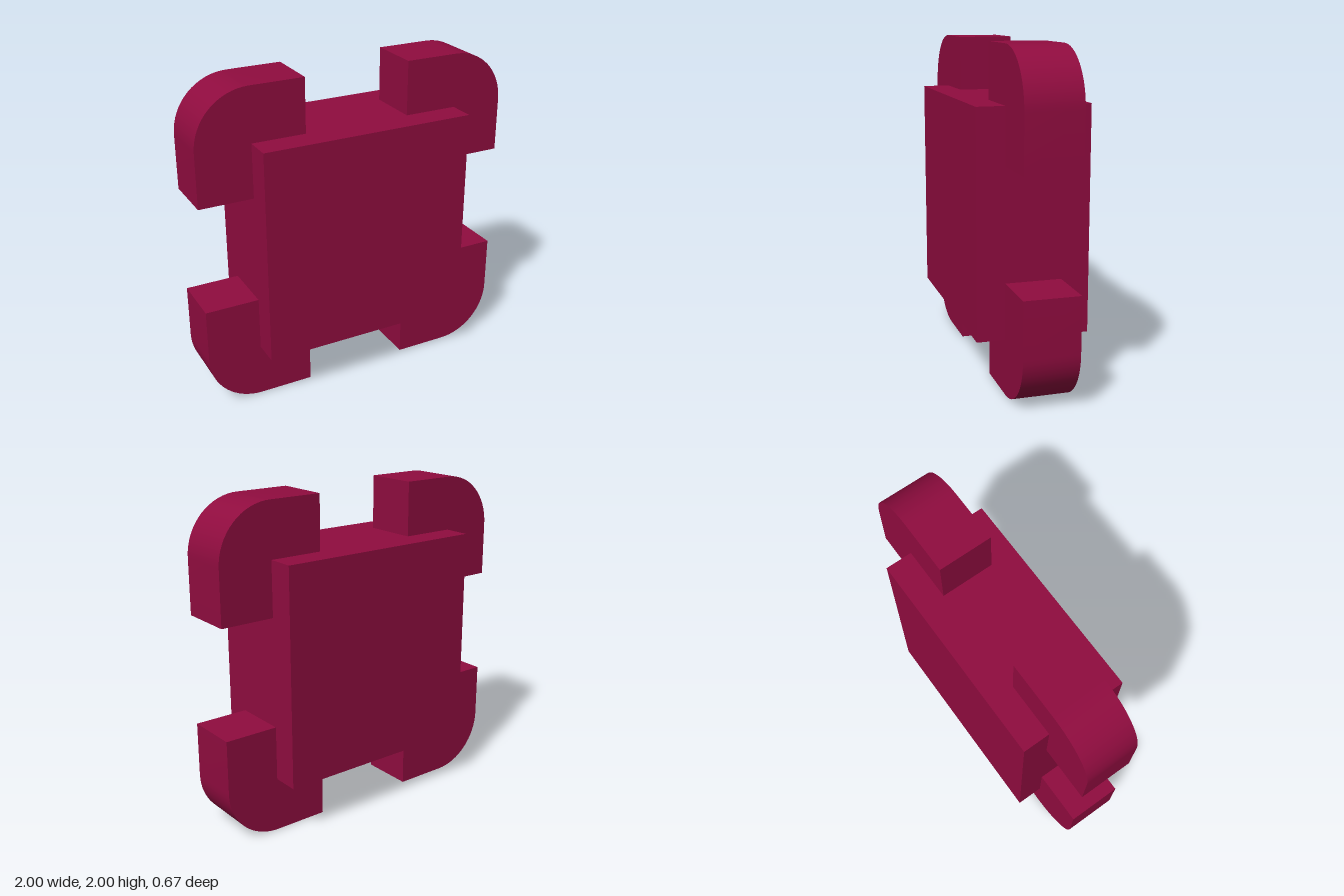
import * as THREE from 'three';
import { toCreasedNormals } from 'three/addons/utils/BufferGeometryUtils.js';

export function createModel() {
  const group = new THREE.Group();
  const crimson = new THREE.MeshStandardMaterial({ color: 0x900c3f });
  crimson.name = 'crimson';
  const third = 1 / 3;

  // Thick square slab in the middle
  const core = new THREE.Mesh(new THREE.BoxGeometry(4 * third, 4 * third, 2 * third), crimson);
  core.name = 'coreSlab';
  core.position.y = 1;
  group.add(core);

  // Corner block: a square with its outer corner rounded
  const outline = new THREE.Shape();
  outline.moveTo(third, third);
  outline.lineTo(1, third);
  outline.lineTo(1, 2 * third);
  outline.absarc(2 * third, 2 * third, third, 0, Math.PI / 2, false);
  outline.lineTo(third, 1);
  outline.closePath();
  const extruded = new THREE.ExtrudeGeometry(outline, { depth: third, bevelEnabled: false, curveSegments: 8 });
  extruded.translate(0, 0, -third / 2);
  const cornerGeometry = toCreasedNormals(extruded, 0.5);

  // One block per corner, turned in quarter steps about the centre
  const names = ['upperLeftCorner', 'upperRightCorner', 'lowerRightCorner', 'lowerLeftCorner'];
  names.forEach((name, i) => {
    const corner = new THREE.Mesh(cornerGeometry, crimson);
    corner.name = name;
    corner.position.y = 1;
    corner.rotation.z = i * Math.PI / 2;
    group.add(corner);
  });

  return group;
}
